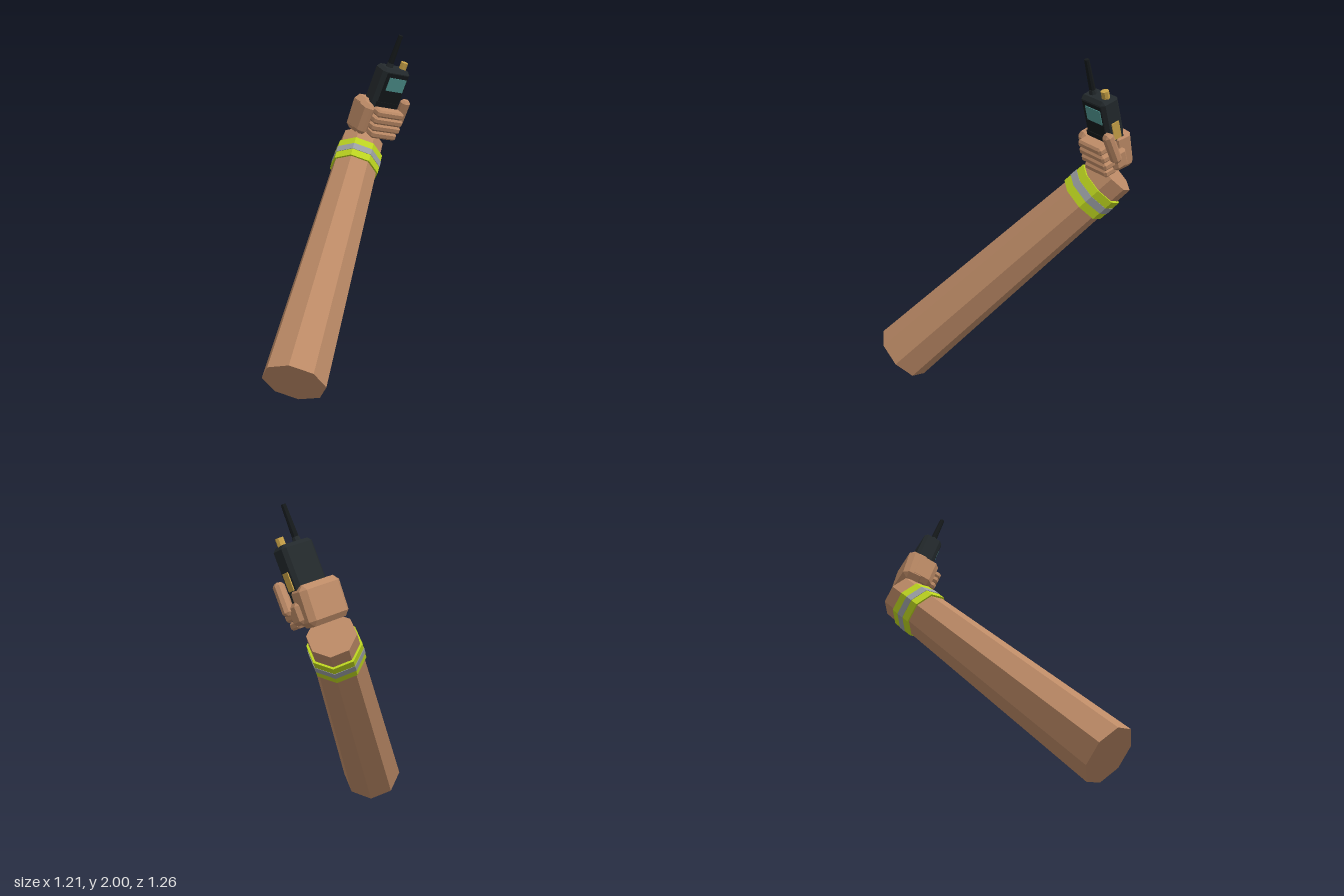
import * as THREE from 'three';
import { ConvexGeometry } from 'three/addons/geometries/ConvexGeometry.js';

const mat = (color) => new THREE.MeshStandardMaterial({ color, flatShading: true });
const skin = mat(0xbc8a66), lime = mat(0xbcd420), silver = mat(0x9a9ea2);
const casing = mat(0x23292c), dark = mat(0x15191b), teal = mat(0x4f9490), gold = mat(0xc9a248);

// Box with every edge chamfered by c
function chamferBox(w, h, d, c) {
  const points = [];
  for (const x of [-1, 1]) for (const y of [-1, 1]) for (const z of [-1, 1]) {
    points.push(
      new THREE.Vector3(x * w / 2, y * (h / 2 - c), z * (d / 2 - c)),
      new THREE.Vector3(x * (w / 2 - c), y * h / 2, z * (d / 2 - c)),
      new THREE.Vector3(x * (w / 2 - c), y * (h / 2 - c), z * d / 2));
  }
  return new ConvexGeometry(points);
}

function add(parent, name, geometry, material, x, y, z) {
  const mesh = new THREE.Mesh(geometry, material);
  mesh.name = name;
  mesh.position.set(x, y, z);
  parent.add(mesh);
  return mesh;
}

// Group whose local y follows `up`, with local z as near to `front` as possible
function frame(name, origin, up, front) {
  const y = up.normalize();
  const x = new THREE.Vector3().crossVectors(y, front).normalize();
  const z = new THREE.Vector3().crossVectors(x, y);
  const group = new THREE.Group();
  group.name = name;
  group.quaternion.setFromRotationMatrix(new THREE.Matrix4().makeBasis(x, y, z));
  group.position.copy(origin);
  return group;
}

// Tapered eight-sided forearm with a reflective cuff
function createForearm() {
  const arm = frame('forearm', new THREE.Vector3(-0.45, 0.14, 0.475),
    new THREE.Vector3(0.456, 0.681, -0.572), new THREE.Vector3(-0.3, 0.205, 0.005));
  const length = 1.755;
  add(arm, 'sleeve', new THREE.CylinderGeometry(0.135, 0.182, length, 8), skin, 0, length / 2, 0);
  add(arm, 'cuffBand', new THREE.CylinderGeometry(0.151, 0.153, 0.145, 8), lime, 0, 1.585, 0);
  add(arm, 'reflectiveStripe', new THREE.CylinderGeometry(0.154, 0.155, 0.045, 8), silver, 0, 1.585, 0);
  return arm;
}

// Handheld radio; the local origin is the middle of its top face
function createRadio() {
  const radio = new THREE.Group();
  radio.name = 'radio';
  add(radio, 'radioBody', chamferBox(0.2, 0.37, 0.12, 0.02), casing, 0, -0.185, 0);
  add(radio, 'bezel', new THREE.BoxGeometry(0.155, 0.19, 0.008), dark, 0.005, -0.12, 0.06);
  add(radio, 'screen', new THREE.BoxGeometry(0.125, 0.085, 0.01), teal, 0.013, -0.092, 0.063);
  add(radio, 'lowerGrille', new THREE.BoxGeometry(0.16, 0.03, 0.016), dark, 0, -0.228, 0.06);
  add(radio, 'sideButton', new THREE.BoxGeometry(0.012, 0.1, 0.05), gold, 0.1, -0.19, 0);
  add(radio, 'antennaBase', new THREE.CylinderGeometry(0.02, 0.024, 0.03, 8), casing, -0.04, 0.01, 0.005);
  add(radio, 'antenna', new THREE.CylinderGeometry(0.014, 0.019, 0.205, 8), dark, -0.04, 0.103, 0.005);
  add(radio, 'knob', new THREE.CylinderGeometry(0.023, 0.023, 0.045, 8), gold, 0.062, 0.02, 0);
  return radio;
}

// Fist closed around the lower half of the radio
function createHand() {
  const hand = new THREE.Group();
  hand.name = 'hand';
  const palm = add(hand, 'palm', chamferBox(0.265, 0.225, 0.135, 0.03), skin, -0.022, -0.338, -0.028);
  palm.rotation.x = -0.08;
  add(hand, 'knuckles', chamferBox(0.075, 0.2, 0.15, 0.025), skin, -0.118, -0.335, 0.022);

  // Four curled fingers, the outer two a little shorter
  [0.195, 0.21, 0.21, 0.185].forEach((length, i) => {
    add(hand, 'finger', chamferBox(length, 0.046, 0.085, 0.012), skin,
      0.008 + i * 0.003, -0.268 - i * 0.047, 0.097 - i * 0.002);
  });

  add(hand, 'thumbBase', chamferBox(0.06, 0.12, 0.1, 0.02), skin, 0.1, -0.36, 0.02);
  const thumb = add(hand, 'thumb', chamferBox(0.062, 0.185, 0.058, 0.017), skin, 0.125, -0.262, 0.066);
  thumb.rotation.set(0.12, 0, 0.08);
  return hand;
}

export function createModel() {
  const model = new THREE.Group();
  model.name = 'armHoldingRadio';
  const grip = frame('grip', new THREE.Vector3(0.49, 1.805, -0.345),
    new THREE.Vector3(0.22, 0.917, 0.33), new THREE.Vector3(0.13, -0.36, 0.923));
  grip.add(createRadio(), createHand());
  model.add(createForearm(), grip);
  return model;
}
